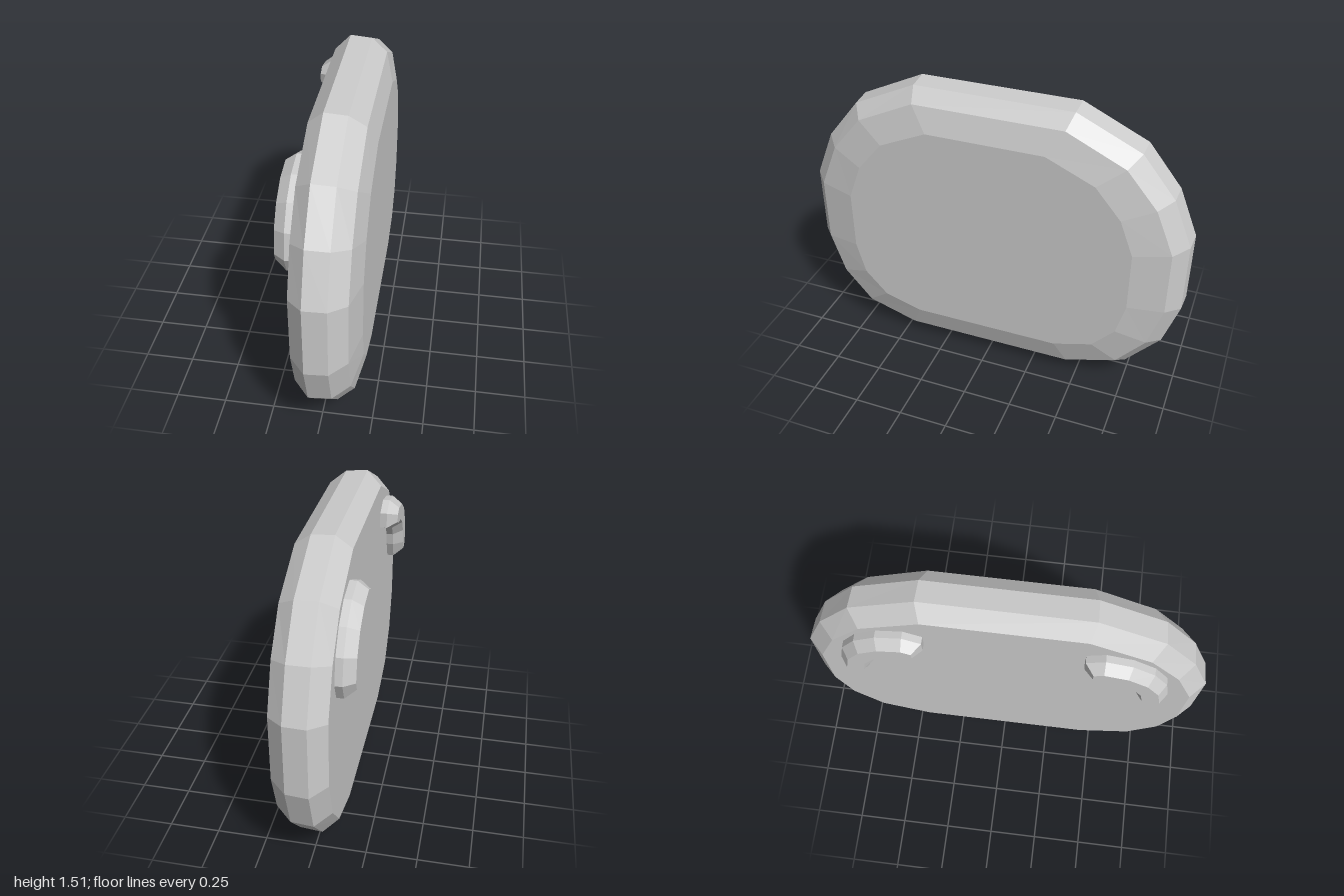
import * as THREE from 'three';

const material = new THREE.MeshStandardMaterial({ color: 0xcccccc, flatShading: true });

// Lofts matching outlines [u, y] (counter-clockwise, u = -z) along x and closes both ends.
function loft(name, rings) {
  const n = rings[0].points.length;
  const positions = [];
  const index = [];
  for (const { x, points } of rings) {
    for (const [u, y] of points) positions.push(x, y, -u);
  }
  for (let r = 0; r < rings.length - 1; r++) {
    for (let i = 0; i < n; i++) {
      const j = (i + 1) % n;
      const a = r * n + i, b = r * n + j;
      index.push(a, b, b + n, a, b + n, a + n);
    }
  }
  const cap = (ring) => THREE.ShapeUtils.triangulateShape(
    ring.points.map(([u, y]) => new THREE.Vector2(u, y)), []);
  const last = (rings.length - 1) * n;
  for (const [a, b, c] of cap(rings[0])) index.push(a, c, b);
  for (const [a, b, c] of cap(rings[rings.length - 1])) index.push(last + a, last + b, last + c);

  const indexed = new THREE.BufferGeometry();
  indexed.setAttribute('position', new THREE.Float32BufferAttribute(positions, 3));
  indexed.setIndex(index);
  const geometry = indexed.toNonIndexed();
  geometry.computeVertexNormals();
  const mesh = new THREE.Mesh(geometry, material);
  mesh.name = name;
  return mesh;
}

const mirror = (points) => points.map(([u, y]) => [-u, y]).reverse();
const symmetric = (half) => [...half, ...mirror(half)];

// Half outlines of the slab, from bottom to top
const rim = [[0.467, 0.003], [0.753, 0.1], [0.925, 0.297], [1, 0.53],
  [1, 0.905], [0.9, 1.15], [0.73, 1.362], [0.405, 1.515]];
const shoulder = [[0.445, 0.075], [0.71, 0.16], [0.855, 0.33], [0.925, 0.55],
  [0.925, 0.89], [0.83, 1.12], [0.675, 1.305], [0.38, 1.445]];
const face = [[0.385, 0.205], [0.585, 0.265], [0.7, 0.39], [0.745, 0.56],
  [0.745, 0.87], [0.675, 1.055], [0.545, 1.21], [0.3, 1.32]];
const innerRim = rim.map(([u, y]) => [u * 0.994, 0.76 + (y - 0.76) * 0.989]);

// Quarter-arc outline with blunt chamfered ends; w is half the width
function arcOutline(w) {
  const cu = 0.465, cy = 1.0, R = 0.255, steps = 4;
  const arc = (radius) => Array.from({ length: steps + 1 }, (_, i) => {
    const t = (i / steps) * Math.PI / 2;
    return [cu + radius * Math.cos(t), cy + radius * Math.sin(t)];
  });
  return [
    ...arc(R + w),
    [cu - 1.1 * w, cy + R + 0.5 * w], [cu - 1.1 * w, cy + R - 0.5 * w],
    ...arc(R - w).reverse(),
    [cu + R - 0.5 * w, cy - 1.1 * w], [cu + R + 0.5 * w, cy - 1.1 * w],
  ];
}

export function createModel() {
  const model = new THREE.Group();
  model.name = 'roundedPanel';

  // Slab: flat at the back, domed towards +x
  model.add(loft('slab', [
    { x: -0.11, points: symmetric(shoulder) },
    { x: -0.035, points: symmetric(rim) },
    { x: 0.075, points: symmetric(innerRim) },
    { x: 0.155, points: symmetric(shoulder) },
    { x: 0.195, points: symmetric(face) },
  ]));

  // Pair of raised curved ridges following the upper corners
  for (const side of ['back', 'front']) {
    const outline = (w) => (side === 'back' ? arcOutline(w) : mirror(arcOutline(w)));
    model.add(loft(`${side}Ridge`, [
      { x: -0.197, points: outline(0.042) },
      { x: -0.145, points: outline(0.08) },
      { x: -0.1, points: outline(0.08) },
    ]));
  }
  return model;
}
